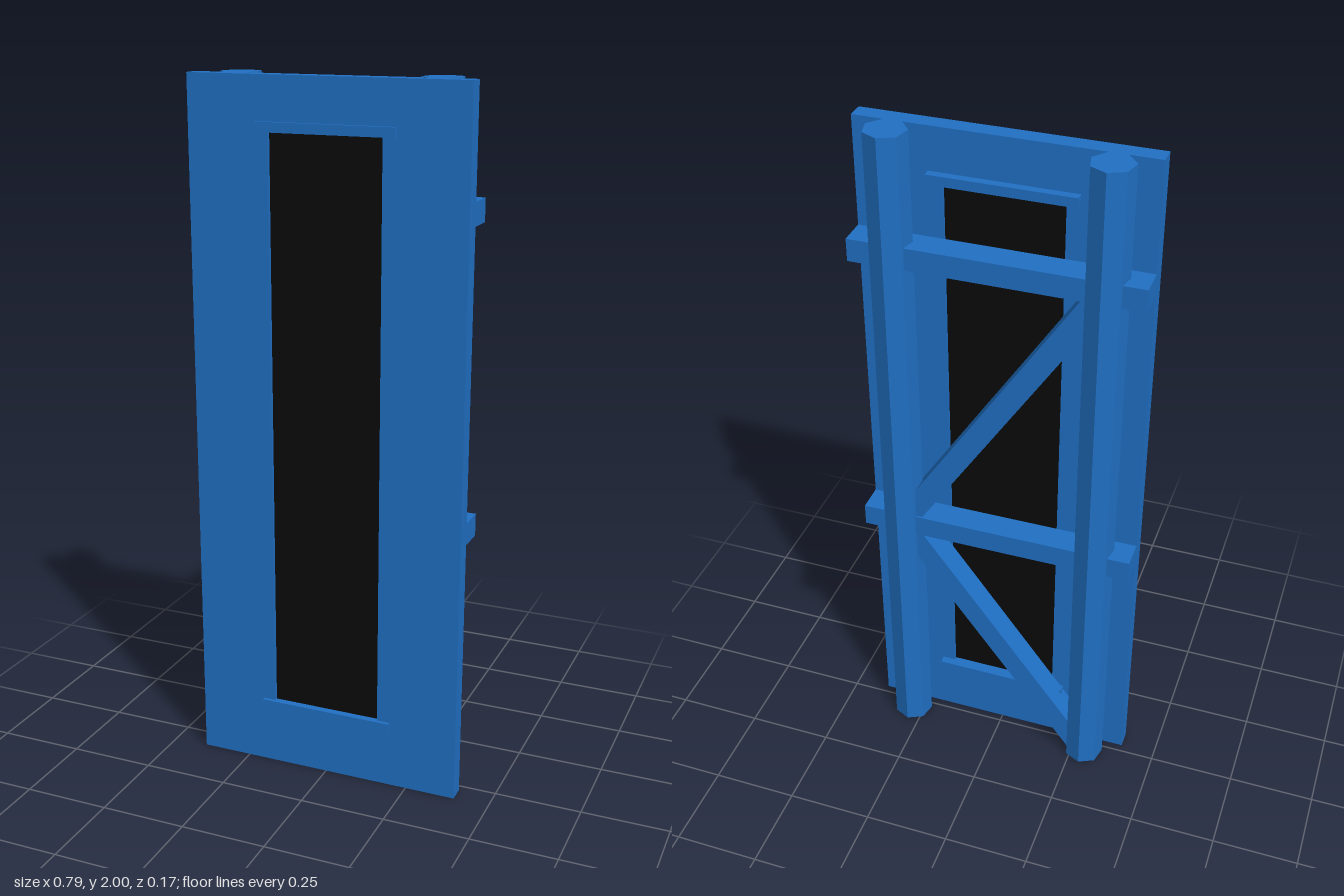
import * as THREE from 'three';

export function createModel() {
  const model = new THREE.Group();
  model.name = 'doorPanel';
  const blue = new THREE.MeshStandardMaterial({ color: 0x2070c4, flatShading: true });
  const black = new THREE.MeshStandardMaterial({ color: 0x0a0a0a, flatShading: true });

  const add = (name, geometry, material = blue) => {
    const mesh = new THREE.Mesh(geometry, material);
    mesh.name = name;
    model.add(mesh);
    return mesh;
  };
  // Box given by its minimum and maximum corners
  const box = (name, [x0, y0, z0], [x1, y1, z1], material) =>
    add(name, new THREE.BoxGeometry(x1 - x0, y1 - y0, z1 - z0), material)
      .position.set((x0 + x1) / 2, (y0 + y1) / 2, (z0 + z1) / 2);

  const rect = (path, x0, y0, x1, y1) =>
    path.moveTo(x0, y0).lineTo(x1, y0).lineTo(x1, y1).lineTo(x0, y1).closePath();

  // Front slab with a tall opening
  const W = 0.397, back = 0.023, front = 0.072;
  const outline = rect(new THREE.Shape(), -W, 0, W, 2);
  outline.holes.push(rect(new THREE.Path(), -0.162, 0.19, 0.16, 1.86));
  const slab = new THREE.ExtrudeGeometry(outline, { depth: front - back, bevelEnabled: false });
  add('slab', slab.translate(0, 0, back));

  // Dark pane, set back from both faces
  box('pane', [-0.162, 0.19, 0.033], [0.16, 1.86, 0.062], black);

  // Ledges passing through the slab above and below the pane
  box('topLedge', [-0.198, 1.853, 0], [0.198, 1.88, 0.083]);
  box('bottomLedge', [-0.198, 0.174, 0], [0.198, 0.2, 0.083]);

  // Seven-sided posts with one edge pointing backwards
  for (const side of [-1, 1]) {
    const post = new THREE.CylinderGeometry(0.058, 0.058, 2, 7).rotateY(Math.PI);
    add(side > 0 ? 'leftPost' : 'rightPost', post).position.set(side * 0.286, 1, -0.029);
  }

  // Horizontal rails across the back
  for (const [name, y] of [['upperRail', 1.665], ['middleRail', 0.793]])
    box(name, [-W, y - 0.032, -0.058], [W, y + 0.032, back]);

  // Diagonal braces between the posts
  const brace = (name, x0, y0, x1, y1) => {
    const geometry = new THREE.BoxGeometry(Math.hypot(x1 - x0, y1 - y0), 0.065, 0.076);
    const mesh = add(name, geometry);
    mesh.position.set((x0 + x1) / 2, (y0 + y1) / 2, -0.015);
    mesh.rotation.z = Math.atan2(y1 - y0, x1 - x0);
  };
  brace('upperBrace', -0.275, 1.645, 0.275, 0.8);
  brace('lowerBrace', -0.265, 0.04, 0.275, 0.78);

  return model;
}
